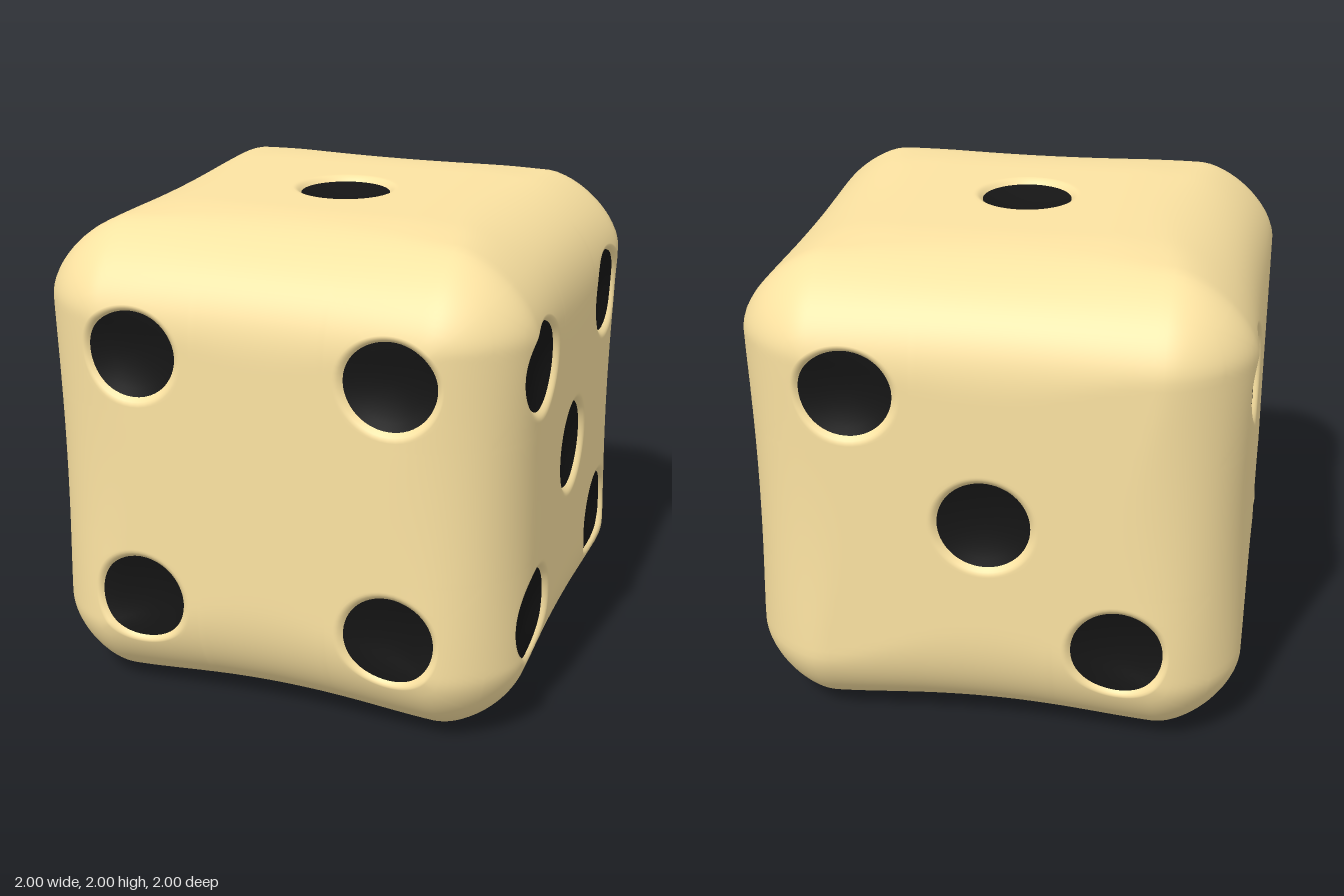
import * as THREE from 'three';
import { mergeVertices } from 'three/addons/utils/BufferGeometryUtils.js';

const V = (x, y, z) => new THREE.Vector3(x, y, z);
const LINES = [-1, -0.27, 0.27, 1]; // each face is a 3 x 3 layout of cells
const SPOT = 0.525;                 // distance of outer pips from the face centre
const K = 20;                       // segments along each cell side
const RIM = 0.215, PIT = 0.183;     // outer edge of the bevel, edge of the dark bowl

// Each face: axes a and b (a x b = outward), pip cells, and a small pip offset
const FACES = [
  { a: V(1, 0, 0), b: V(0, 1, 0), pips: [[-1, 1], [1, 1], [-1, -1], [1, -1]], shift: [0, -0.005] },
  { a: V(0, 0, -1), b: V(0, 1, 0), pips: [[-1, 1], [1, 1], [0, 0], [-1, -1], [1, -1]], shift: [-0.03, -0.007] },
  { a: V(1, 0, 0), b: V(0, 0, -1), pips: [[0, 0]], shift: [0, -0.04] },
  { a: V(-1, 0, 0), b: V(0, 1, 0), pips: [[-1, 1], [0, 0], [1, -1]], shift: [0, 0] },
  { a: V(0, 0, 1), b: V(0, 1, 0), pips: [[-1, 1], [1, -1]], shift: [0, 0] },
  { a: V(1, 0, 0), b: V(0, 0, 1), pips: [[-1, -1], [-1, 0], [-1, 1], [1, -1], [1, 0], [1, 1]], shift: [0, 0] },
];

// Moves a point of the cube onto the rounded cube: wide soft curves mid-edge,
// tighter corners, extra softness on the lower front and back edges, a gently domed top
function roundOff(q) {
  const t = Math.min(Math.abs(q.x), Math.abs(q.y), Math.abs(q.z));
  const mid = Math.cos(Math.PI / 2 * Math.min(t / 0.75, 1)) ** 2;
  const soft = q.y < 0 && Math.abs(q.x) === t ? 0.22 : 0.15;
  const r = 0.33 + soft * mid;
  const p = 1.65 + 0.75 * mid;
  const core = q.clone().clampScalar(r - 1, 1 - r);
  const d = q.clone().sub(core);
  const len = (Math.abs(d.x) ** p + Math.abs(d.y) ** p + Math.abs(d.z) ** p) ** (1 / p);
  core.addScaledVector(d, r / len);
  const sx = THREE.MathUtils.smoothstep(Math.abs(core.x), 0.4, 0.9);
  const sz = THREE.MathUtils.smoothstep(Math.abs(core.z), 0.4, 0.9);
  core.y -= 0.035 * (sx + sz - sx * sz) * THREE.MathUtils.smoothstep(core.y, 0.4, 1);
  return core;
}

// Depth of a pip at a distance from its centre: soft bevel, then a shallow bowl
function pitDepth(rho) {
  if (rho >= RIM) return 0;
  if (rho >= PIT) return 0.022 * ((RIM - rho) / (RIM - PIT)) ** 2;
  return 0.022 + 0.03 * (1 - (rho / PIT) ** 2);
}

function toGeometry(positions) {
  const g = new THREE.BufferGeometry();
  g.setAttribute('position', new THREE.Float32BufferAttribute(positions, 3));
  const merged = mergeVertices(g, 1e-5);
  merged.computeVertexNormals();
  return merged;
}

export function createModel() {
  const body = [], bowls = [];
  const tri = (out, ...pts) => pts.forEach((p) => out.push(p.x, p.y, p.z));
  const quad = (out, a, b, c, d) => { tri(out, a, b, c); tri(out, a, c, d); };

  for (const { a, b, pips, shift } of FACES) {
    const n = a.clone().cross(b);
    const place = (u, v, depth = 0) => {
      const p = roundOff(n.clone().addScaledVector(a, u).addScaledVector(b, v));
      p.addScaledVector(n, -depth);
      p.y += 1;
      return p;
    };

    // Plain cell: a regular grid
    const plainCell = (u0, u1, v0, v1) => {
      const at = (i, j) => place(u0 + (u1 - u0) * i / K, v0 + (v1 - v0) * j / K);
      for (let i = 0; i < K; i++) {
        for (let j = 0; j < K; j++) quad(body, at(i, j), at(i + 1, j), at(i + 1, j + 1), at(i, j + 1));
      }
    };

    // Pip cell: rings running from the square border to the round rim, then into the bowl
    const pipCell = (u0, u1, v0, v1, cu, cv) => {
      const border = [];
      const corners = [[u0, v0], [u1, v0], [u1, v1], [u0, v1]];
      corners.forEach(([x, y], k) => {
        const [x1, y1] = corners[(k + 1) % 4];
        for (let i = 0; i < K; i++) border.push([x + (x1 - x) * i / K, y + (y1 - y) * i / K]);
      });
      const circle = (rho) => border.map(([u, v]) => {
        const ang = Math.atan2(v - cv, u - cu);
        return place(cu + rho * Math.cos(ang), cv + rho * Math.sin(ang), pitDepth(rho));
      });
      const outerRing = (s) => border.map(([u, v]) => {
        const ang = Math.atan2(v - cv, u - cu);
        return place(
          u + (cu + RIM * Math.cos(ang) - u) * s,
          v + (cv + RIM * Math.sin(ang) - v) * s);
      });
      const join = (out, rings) => {
        for (let k = 0; k + 1 < rings.length; k++) {
          rings[k].forEach((p, i) => {
            const j = (i + 1) % border.length;
            quad(out, p, rings[k][j], rings[k + 1][j], rings[k + 1][i]);
          });
        }
      };
      const skin = [], bowl = [];
      for (let i = 0; i <= 9; i++) skin.push(outerRing(i / 9));
      for (let i = 1; i <= 4; i++) skin.push(circle(i === 4 ? PIT : RIM + (PIT - RIM) * i / 4));
      for (let i = 0; i <= 5; i++) bowl.push(circle(PIT * (1 - i / 6)));
      join(body, skin);
      join(bowls, bowl);
      const centre = place(cu, cv, pitDepth(0));
      const last = bowl[5];
      last.forEach((p, i) => tri(bowls, p, last[(i + 1) % last.length], centre));
    };

    for (let i = 0; i < 3; i++) {
      for (let j = 0; j < 3; j++) {
        const cell = [LINES[i], LINES[i + 1], LINES[j], LINES[j + 1]];
        if (pips.some(([x, y]) => x === i - 1 && y === j - 1)) {
          pipCell(...cell, (i - 1) * SPOT + shift[0], (j - 1) * SPOT + shift[1]);
        } else plainCell(...cell);
      }
    }
  }

  const group = new THREE.Group();
  group.name = 'die';
  const add = (name, positions, color) => {
    const mesh = new THREE.Mesh(toGeometry(positions), new THREE.MeshStandardMaterial({ color }));
    mesh.name = name;
    group.add(mesh);
  };
  add('roundedCube', body, 0xfce3a2);
  add('pips', bowls, 0x151515);
  return group;
}
